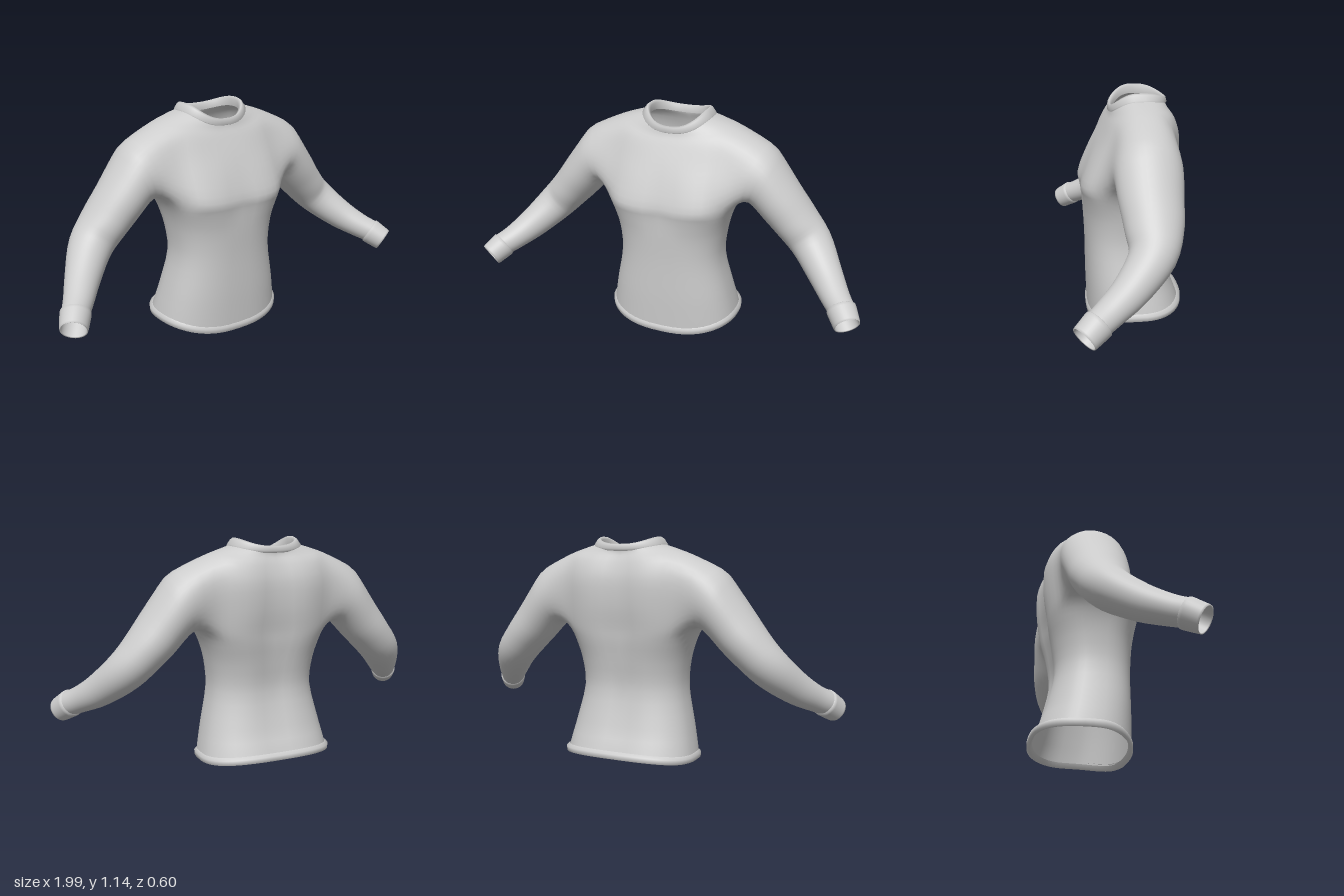
import * as THREE from 'three';
import { mergeGeometries, mergeVertices } from 'three/addons/utils/BufferGeometryUtils.js';

const V = (x, y, z) => new THREE.Vector3(x, y, z);

// Smoothly resample a list of parameter rows, sub steps per interval.
function resample(keys, sub) {
  const out = [];
  const at = i => keys[Math.min(Math.max(i, 0), keys.length - 1)];
  for (let k = 0; k < keys.length - 1; k++) {
    for (let s = 0; s < sub; s++) {
      const t = s / sub;
      out.push(at(k).map((p1, c) => {
        const p0 = at(k - 1)[c], p2 = at(k + 1)[c], p3 = at(k + 2)[c];
        return p1 + 0.5 * t * (p2 - p0 + t * (2 * p0 - 5 * p1 + 4 * p2 - p3 + t * (3 * (p1 - p2) + p3 - p0)));
      }));
    }
  }
  out.push(at(keys.length - 1));
  return out;
}

// Point on a body cross-section: front/side/back heights, half width, front/back depth,
// squareness, chest dip and spine groove.
function bodyPoint([yf, ys, yb, w, zf, zb, n = 2.5, dip = 0, groove = 0], a) {
  const c = Math.cos(a), s = Math.sin(a), e = 2 / n;
  const x = w * Math.sign(c) * Math.abs(c) ** e;
  let z = (zf + zb) / 2 + (zf - zb) / 2 * Math.sign(s) * Math.abs(s) ** e;
  const mid = Math.exp(-((x / 0.08) ** 2));
  z += s > 0 ? -dip * mid * s : -groove * mid * s;
  return V(x, ys + ((s > 0 ? yf : yb) - ys) * s * s, z);
}

// Surface through rows of points; skip(i, j) leaves a hole.
function grid(rows, skip = () => false) {
  const n = rows[0].length, pos = [], idx = [];
  rows.flat().forEach(p => pos.push(p.x, p.y, p.z));
  for (let j = 0; j < rows.length - 1; j++) {
    for (let i = 0; i < n - 1; i++) {
      if (skip(i, j)) continue;
      const a = j * n + i, b = a + n;
      idx.push(a, b, b + 1, a, b + 1, a + 1);
    }
  }
  const g = new THREE.BufferGeometry();
  g.setAttribute('position', new THREE.Float32BufferAttribute(pos, 3));
  g.setIndex(idx);
  return g;
}

function mirrored(g) {
  const m = g.clone().scale(-1, 1, 1), ix = m.index.array;
  for (let i = 0; i < ix.length; i += 3) [ix[i], ix[i + 1]] = [ix[i + 1], ix[i]];
  return m;
}

function weld(parts) {
  const g = mergeVertices(mergeGeometries(parts), 1e-4);
  g.computeVertexNormals();
  return g;
}

// Relax the shoulder and armpit area so the sleeve flows into the body.
function relaxShoulders(g, passes) {
  const p = g.attributes.position, ix = g.index.array;
  const near = Array.from({ length: p.count }, () => new Set());
  for (let i = 0; i < ix.length; i += 3) {
    for (let k = 0; k < 3; k++) near[ix[i + k]].add(ix[i + (k + 1) % 3]).add(ix[i + (k + 2) % 3]);
  }
  const { smoothstep } = THREE.MathUtils;
  for (let n = 0; n < passes; n++) {
    const old = near.map((_, i) => V().fromBufferAttribute(p, i));
    near.forEach((set, i) => {
      const q = old[i], x = Math.abs(q.x);
      const w = 0.5 * smoothstep(x, 0.2, 0.3) * (1 - smoothstep(x, 0.42, 0.52)) * smoothstep(q.y, 0.6, 0.68);
      if (!w) return;
      const avg = V(0, 0, 0);
      set.forEach(k => avg.add(old[k]));
      q.clone().lerp(avg.divideScalar(set.size), w).toArray(p.array, i * 3);
    });
  }
  g.computeVertexNormals();
}

// Rings along a sleeve path: centre x, y, z, upright radius, side radius, lean of the ring.
function sleeveRings(keys, count) {
  return keys.map(([x, y, z, ru, rv, lean], k) => {
    const a = keys[Math.max(k - 1, 0)], b = keys[Math.min(k + 1, keys.length - 1)];
    const t = V(b[0] - a[0], b[1] - a[1], b[2] - a[2]).normalize();
    t.x += lean;
    t.normalize();
    const u = V(0, 1, 0).addScaledVector(t, -t.y).normalize();
    const f = t.clone().cross(u);
    return Array.from({ length: count + 1 }, (_, m) => {
      const q = -2 * Math.PI * m / count;
      return V(x, y, z).addScaledVector(u, ru * Math.cos(q)).addScaledVector(f, rv * Math.sin(q));
    });
  });
}

function band(profile) {
  return weld([grid(profile.map(p =>
    Array.from({ length: 73 }, (_, i) => bodyPoint(p, i / 72 * Math.PI * 2))))]);
}

export function createModel() {
  const group = new THREE.Group();
  const fabric = new THREE.MeshStandardMaterial({ color: 0xcccccc, side: THREE.DoubleSide });
  fabric.name = 'grey fabric';
  const add = (name, geometry) => {
    const mesh = new THREE.Mesh(geometry, fabric);
    mesh.name = name;
    group.add(mesh);
  };

  // Left half of the torso, with an armhole between rows 18 and 27
  const torso = resample([
    [0.02, 0.075, 0.10, 0.335, 0.180, -0.280, 2.5, 0, 0.01],
    [0.11, 0.14, 0.15, 0.322, 0.183, -0.262, 2.5, 0, 0.01],
    [0.22, 0.23, 0.23, 0.302, 0.186, -0.235, 2.5, 0, 0.015],
    [0.40, 0.40, 0.40, 0.266, 0.188, -0.200, 2.5, 0, 0.02],
    [0.54, 0.54, 0.54, 0.275, 0.195, -0.215, 2.6, 0, 0.02],
    [0.64, 0.64, 0.64, 0.300, 0.208, -0.235, 2.9, 0.01, 0.025],
    [0.70, 0.72, 0.71, 0.340, 0.216, -0.247, 2.9, 0.015, 0.03],
    [0.80, 0.83, 0.82, 0.355, 0.180, -0.265, 2.6, 0.01, 0.03],
    [0.90, 0.94, 0.94, 0.360, 0.130, -0.268, 2.5, 0, 0.03],
    [0.98, 1.05, 1.02, 0.340, 0.090, -0.245, 2.4, 0, 0.025],
    [1.02, 1.08, 1.065, 0.260, 0.068, -0.218, 2.3, 0, 0.015],
    [1.045, 1.105, 1.09, 0.175, 0.060, -0.205, 2.5, 0, 0],
  ], 3);
  const half = 12, k = 5, lo = 18, hi = 27;
  const rows = torso.map(p => Array.from({ length: 2 * half + 1 }, (_, i) =>
    bodyPoint(p, (i - half) / half * Math.PI / 2)));
  const inHole = (i, j) => i >= half - k && i < half + k && j >= lo && j < hi;

  // Armhole edge, from the top centre backwards and round
  const edge = [];
  for (let i = 0; i < k; i++) edge.push(rows[hi][half - i]);
  for (let j = hi; j > lo; j--) edge.push(rows[j][half - k]);
  for (let i = -k; i < k; i++) edge.push(rows[lo][half + i]);
  for (let j = lo; j < hi; j++) edge.push(rows[j][half + k]);
  for (let i = k; i >= 0; i--) edge.push(rows[hi][half + i]);

  // Sleeve grows out of the armhole
  const rings = sleeveRings(resample([
    [0.42, 0.86, -0.070, 0.148, 0.162, 1.5],
    [0.51, 0.748, -0.068, 0.122, 0.147, 0.4],
    [0.605, 0.637, -0.068, 0.107, 0.130, 0],
    [0.695, 0.540, -0.045, 0.097, 0.105, 0],
    [0.790, 0.440, 0.055, 0.080, 0.082, 0],
    [0.860, 0.380, 0.148, 0.066, 0.068, 0],
    [0.905, 0.350, 0.205, 0.061, 0.061, 0],
  ], 4), edge.length - 1);
  const bridge = edge.map((p, m) => p.clone().lerp(rings[0][m], 0.5));

  const side = mergeGeometries([grid(rows, inHole), grid([edge, bridge, ...rings])]);
  const body = weld([side, mirrored(side)]);
  relaxShoulders(body, 5);
  add('sweaterBody', body);

  // Cuffs with a rolled rim and a hollow inside
  const path = (s, r) => [0.898 + 0.045 * s, 0.354 - 0.047 * s, 0.196 + 0.068 * s, r, r, 0];
  const outer = sleeveRings([path(0, 0.06), path(0.06, 0.068), path(0.2, 0.068), path(0.9, 0.062), path(1, 0.060)], 32);
  const inner = sleeveRings([path(0.1, 0.053), path(0.97, 0.055)], 32).reverse();
  const cuff = grid([...outer, ...inner]);
  add('leftCuff', weld([cuff]));
  add('rightCuff', weld([mirrored(cuff)]));

  // Rolled hem, lower at the front
  add('hem', band([
    [0.030, 0.085, 0.105, 0.320, 0.165, -0.268],
    [0.003, 0.058, 0.080, 0.332, 0.176, -0.282],
    [0.008, 0.063, 0.085, 0.343, 0.187, -0.295],
    [0.030, 0.085, 0.108, 0.345, 0.188, -0.295],
    [0.042, 0.097, 0.118, 0.332, 0.179, -0.276],
  ]));

  // Ribbed collar band, high at the sides of the neck
  add('collar', band([
    [1.035, 1.095, 1.075, 0.176, 0.060, -0.208],
    [1.040, 1.110, 1.085, 0.178, 0.068, -0.215],
    [1.065, 1.135, 1.105, 0.160, 0.066, -0.211],
    [1.070, 1.142, 1.108, 0.150, 0.058, -0.203],
    [1.060, 1.130, 1.098, 0.138, 0.046, -0.190],
    [1.035, 1.095, 1.070, 0.141, 0.044, -0.190],
  ]));
  return group;
}
